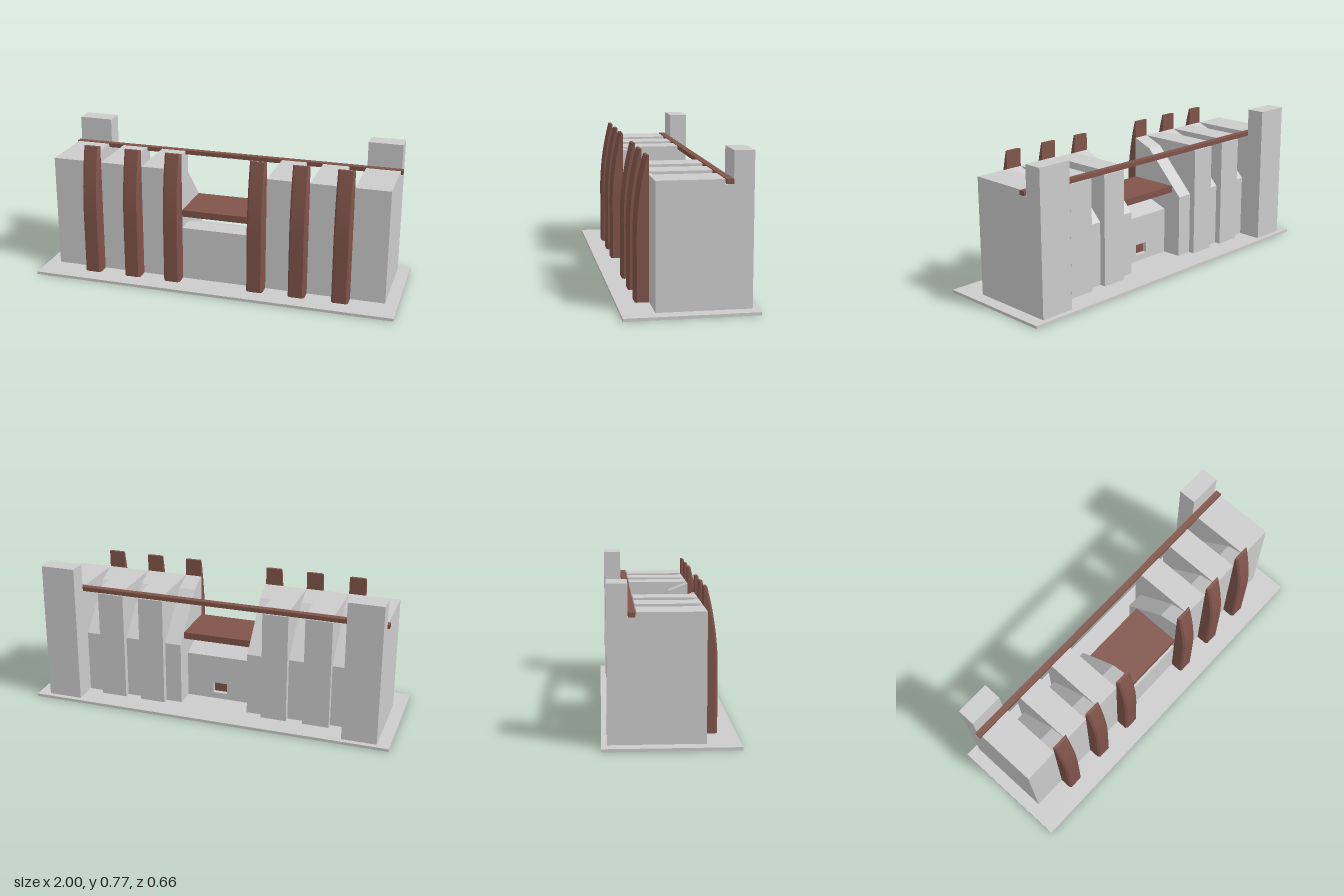
import * as THREE from 'three';
import { toCreasedNormals } from 'three/addons/utils/BufferGeometryUtils.js';

const grey = new THREE.MeshStandardMaterial({ color: 0xcccccc });
const brown = new THREE.MeshStandardMaterial({ color: 0x80544a });

const BASE = 0.015, FRONT = 0.167, TOP = 0.642;

function add(parent, name, geometry, material) {
  const mesh = new THREE.Mesh(geometry, material);
  mesh.name = name;
  parent.add(mesh);
  return mesh;
}

// Box given by its limits on each axis
function box(x0, x1, y0, y1, z0, z1) {
  return new THREE.BoxGeometry(x1 - x0, y1 - y0, z1 - z0)
    .translate((x0 + x1) / 2, (y0 + y1) / 2, (z0 + z1) / 2);
}

// Side profile of [z, y] points, swept from x0 to x1
function sweep(profile, x0, x1) {
  const shape = new THREE.Shape(profile.map(([z, y]) => new THREE.Vector2(z, y)));
  return new THREE.ExtrudeGeometry(shape, { depth: x1 - x0, bevelEnabled: false })
    .rotateY(-Math.PI / 2).translate(x1, 0, 0);
}

// Upright fin with chamfered front corners, its front curving back towards the top
function finGeometry(x) {
  const w = 0.045, c = 0.01, z = 0.237, height = 0.72;
  const section = [[-w, FRONT], [w, FRONT], [w, z - c], [w - c, z], [c - w, z], [-w, z - c]];
  const shape = new THREE.Shape(section.map(([a, b]) => new THREE.Vector2(a, -b)));
  const g = new THREE.ExtrudeGeometry(shape, { depth: height, steps: 16, bevelEnabled: false })
    .rotateX(-Math.PI / 2).translate(0, BASE, 0);
  const p = g.attributes.position;
  for (let i = 0; i < p.count; i++) {
    if (p.getZ(i) < FRONT + 0.02) continue;
    const t = Math.max(0, (p.getY(i) - 0.33) / 0.405);
    p.setZ(i, p.getZ(i) - 0.054 * t * t);
  }
  return toCreasedNormals(g, 0.4).translate(x, 0, 0);
}

export function createModel() {
  const model = new THREE.Group();
  add(model, 'base', box(-1, 1, 0, BASE, -0.33, 0.33), grey);

  // Profiles with a notch at the upper back for the rail
  const notch = [[-0.203, 0.617], [-0.162, 0.617], [-0.162, TOP], [FRONT, TOP]];
  const column = [[FRONT, BASE], [-0.203, BASE], ...notch];
  const end = [[FRONT, BASE], [-0.302, BASE], [-0.302, 0.775], [-0.203, 0.775], ...notch];
  // Buttress sloping down to the back in two stages
  const buttress = [[FRONT, BASE], [-0.17, BASE], [-0.17, 0.36], [0.06, 0.6], [FRONT, TOP]];

  for (const s of [1, -1]) {
    const wing = new THREE.Group();
    wing.name = s > 0 ? 'leftWing' : 'rightWing';
    model.add(wing);
    const part = (name, profile, a, b) =>
      add(wing, name, sweep(profile, Math.min(s * a, s * b), Math.max(s * a, s * b)), grey);
    part('endTower', end, 0.745, 0.932);
    part('outerColumn', column, 0.51, 0.655);
    part('innerColumn', column, 0.28, 0.42);
    for (const x of [0.235, 0.465, 0.7]) {
      part('buttress', buttress, x - 0.045, x + 0.045);
      add(wing, 'fin', finGeometry(s * x), brown);
    }
  }

  // Low central wall with a small niche in its back
  const wall = [[FRONT, BASE], [-0.06, BASE], [-0.06, 0.27], [0.06, 0.312], [FRONT, 0.312]];
  const niched = [...wall];
  niched.splice(2, 0, [-0.06, 0.05], [-0.03, 0.05], [-0.03, 0.11], [-0.06, 0.11]);
  add(model, 'centralWall', sweep(wall, -0.19, -0.04), grey);
  add(model, 'centralWall', sweep(niched, -0.04, 0.04), grey);
  add(model, 'centralWall', sweep(wall, 0.04, 0.19), grey);
  add(model, 'nichePanel', box(-0.04, 0.04, 0.05, 0.11, -0.035, -0.029), brown);

  // Slab bridging the opening, and the long rail behind
  add(model, 'slab', box(-0.19, 0.19, 0.378, 0.415, -0.115, FRONT), brown);
  add(model, 'rail', box(-0.943, 0.943, 0.62, 0.643, -0.201, -0.167), brown);
  return model;
}
